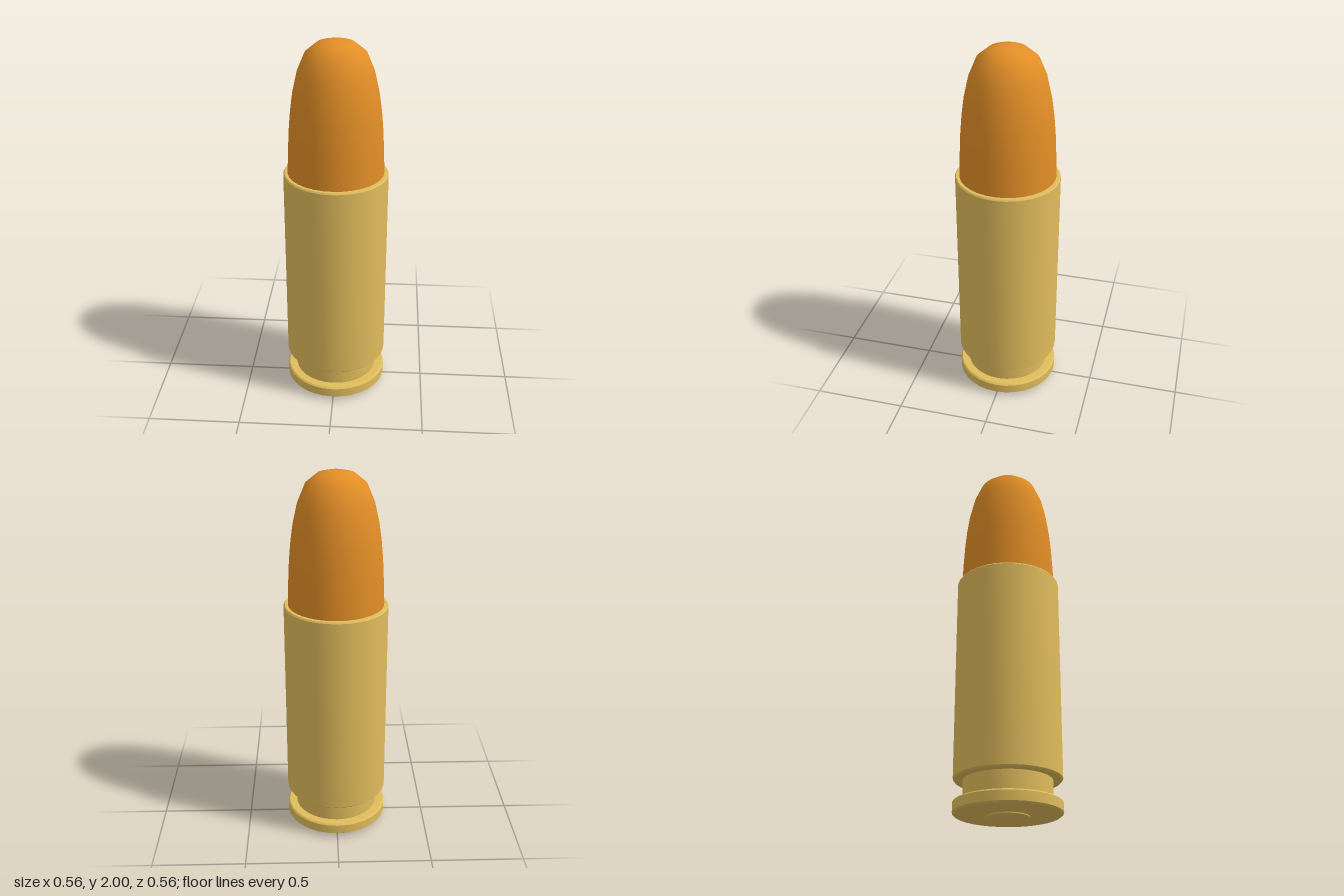
import * as THREE from 'three';
import { toCreasedNormals } from 'three/addons/utils/BufferGeometryUtils.js';

const SEGMENTS = 32;

// Revolve a bottom-to-top [radius, height] profile around the y axis
function lathe(name, profile, material, crease) {
  const points = profile.map(([r, y]) => new THREE.Vector2(r, y));
  let geometry = new THREE.LatheGeometry(points, SEGMENTS);
  if (crease) geometry = toCreasedNormals(geometry, crease);
  const mesh = new THREE.Mesh(geometry, material);
  mesh.name = name;
  return mesh;
}

export function createModel() {
  const brass = new THREE.MeshStandardMaterial({ color: 0xe0bc5c });
  brass.name = 'brass';
  const copper = new THREE.MeshStandardMaterial({ color: 0xe28e26 });
  copper.name = 'copper';

  const group = new THREE.Group();
  group.name = 'cartridge';

  // Primer: shallow disc standing proud of the base
  group.add(lathe('primer', [
    [0, 0], [0.095, 0], [0.11, 0.006], [0.11, 0.03],
  ], brass, 0.35));

  // Casing: rim, extractor groove, body and mouth
  group.add(lathe('casing', [
    [0, 0.011], [0.115, 0.011], [0.268, 0.018], [0.278, 0.026],
    [0.278, 0.076], [0.27, 0.084], [0.228, 0.084],
    [0.228, 0.19], [0.27, 0.19], [0.278, 0.198],
    [0.278, 1.29], [0.272, 1.298], [0.25, 1.298], [0.245, 1.24],
  ], brass, 0.5));

  // Bullet: rounded ogive seated in the mouth
  group.add(lathe('bullet', [
    [0.255, 1.25], [0.255, 1.3], [0.25, 1.42], [0.244, 1.53],
    [0.235, 1.63], [0.221, 1.73], [0.196, 1.84], [0.156, 1.935],
    [0.096, 1.984], [0.04, 1.998], [0, 2],
  ], copper));

  return group;
}
